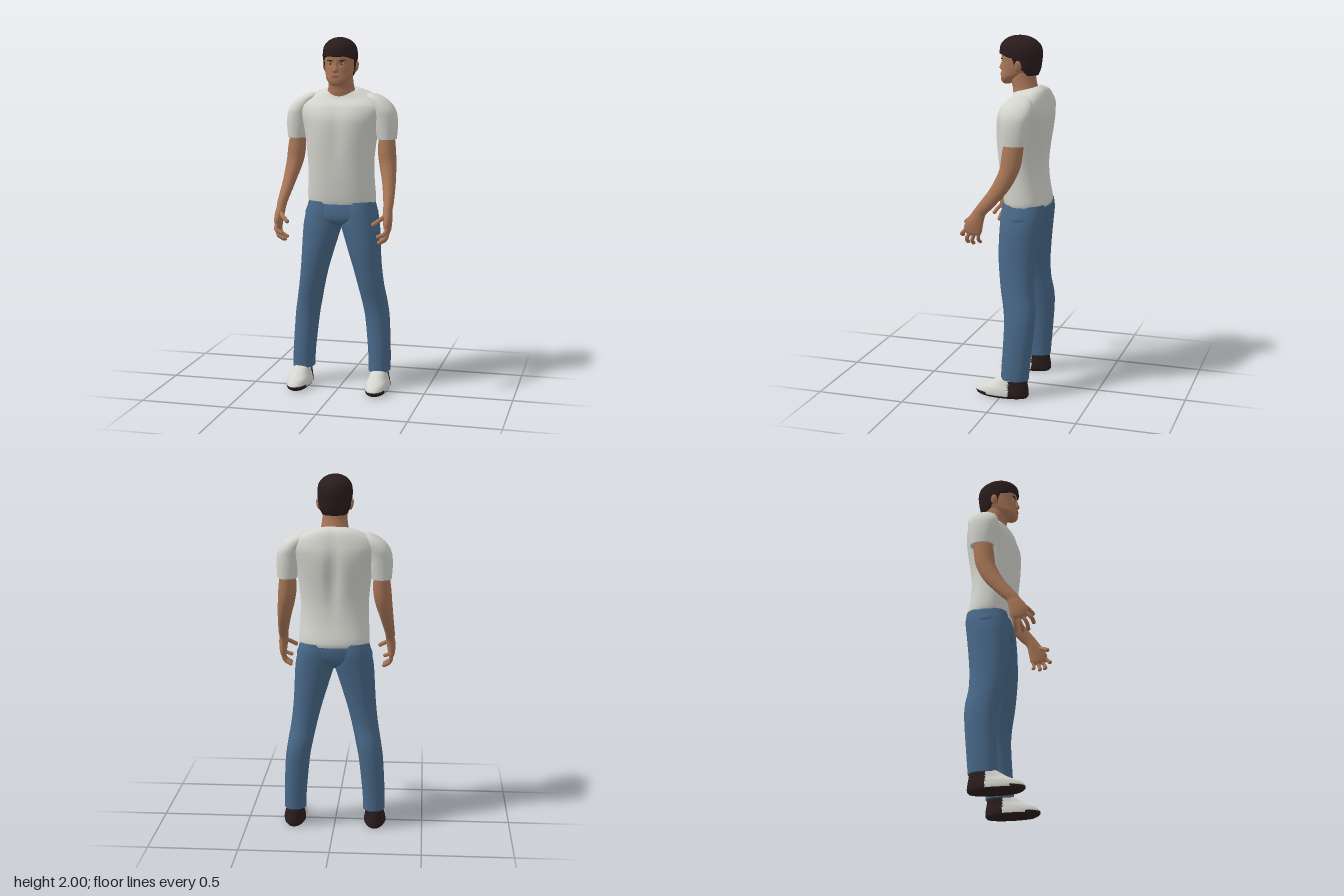
import * as THREE from 'three';

const mat = (name, color, side = THREE.FrontSide) => {
  const m = new THREE.MeshStandardMaterial({ color, side });
  m.name = name;
  return m;
};
const skin = mat('skin', 0xa87657);
const lip = mat('lips', 0x8c5a47);
const white = mat('whiteCloth', 0xd4d5ce);
const denim = mat('denim', 0x486888);
const dark = mat('darkBrown', 0x2a1c1d);
const eyeWhite = mat('eyeWhite', 0xb5a598);

const smooth = THREE.MathUtils.smoothstep;
const bell = (v, c, w) => Math.exp(-(((v - c) / w) ** 2));

// Smooth interpolation through the cross-sections, t from 0 to 1
function sample(sections, t) {
  const n = sections.length - 1, f = t * n, i = Math.min(Math.floor(f), n - 1), k = f - i;
  const at = (j) => sections[Math.max(0, Math.min(n, j))];
  return sections[0].map((_, c) => {
    const [p0, p1, p2, p3] = [at(i - 1)[c], at(i)[c], at(i + 1)[c], at(i + 2)[c]];
    return p1 + 0.5 * k * (p2 - p0 + k * (2 * p0 - 5 * p1 + 4 * p2 - p3 + k * (3 * (p1 - p2) + p3 - p0)));
  });
}

// Skin over level rings, bottom to top; each section is [y, xMin, xMax, zBack, zFront]
function loft(sections, { seg = 48, rows = 40, power = 2, start = () => 0, deform = null } = {}) {
  const pos = [], index = [], p = new THREE.Vector3();
  const bend = (v) => Math.sign(v) * Math.abs(v) ** (2 / power);
  for (let j = 0; j <= rows; j++) {
    for (let i = 0; i < seg; i++) {
      const a = (i / seg) * Math.PI * 2, t0 = start(Math.cos(a), Math.sin(a));
      const [y, x0, x1, z0, z1] = sample(sections, t0 + (1 - t0) * j / rows);
      p.set((x0 + x1) / 2 + bend(Math.cos(a)) * (x1 - x0) / 2, y, (z0 + z1) / 2 + bend(Math.sin(a)) * (z1 - z0) / 2);
      if (deform) deform(p);
      pos.push(p.x, p.y, p.z);
      if (j < rows) {
        const b = j * seg + i, c = j * seg + (i + 1) % seg;
        index.push(b, b + seg, c, c, b + seg, c + seg);
      }
    }
  }
  // End caps with their own vertices, so hems stay crisp
  for (const row of [0, rows]) {
    const base = pos.length / 3, mid = [0, 0, 0];
    for (let i = 0; i < seg; i++) {
      for (let c = 0; c < 3; c++) {
        const v = pos[(row * seg + i) * 3 + c];
        pos.push(v);
        mid[c] += v / seg;
      }
    }
    pos.push(...mid);
    for (let i = 0; i < seg; i++) {
      const b = base + i, c = base + (i + 1) % seg;
      index.push(base + seg, ...(row ? [c, b] : [b, c]));
    }
  }
  const g = new THREE.BufferGeometry();
  g.setAttribute('position', new THREE.Float32BufferAttribute(pos, 3));
  g.setIndex(index);
  g.computeVertexNormals();
  return g;
}

// Sort triangles into two material groups by a rule on their centres
function splitFaces(g, rule) {
  const idx = g.index.array, p = g.attributes.position, sets = [[], []];
  for (let i = 0; i < idx.length; i += 3) {
    const t = [idx[i], idx[i + 1], idx[i + 2]];
    const mean = (f) => t.reduce((s, v) => s + p[f](v) / 3, 0);
    sets[rule(mean('getX'), mean('getY'), mean('getZ')) ? 1 : 0].push(...t);
  }
  g.setIndex([...sets[0], ...sets[1]]);
  g.addGroup(0, sets[0].length, 0);
  g.addGroup(sets[0].length, sets[1].length, 1);
  return g;
}

const centred = (rows) => rows.map(([y, w, b, f]) => [y, -w, w, b, f]);
const sided = (rows, s) => (s > 0 ? rows : rows.map(([y, x0, x1, b, f]) => [y, -x1, -x0, b, f]));

export function createModel() {
  const model = new THREE.Group();
  model.name = 'standingMan';
  const add = (name, geo, material, parent = model) => {
    const m = new THREE.Mesh(geo, material);
    m.name = name;
    parent.add(m);
    return m;
  };
  const ball = (name, material, [x, y, z], [rx, ry, rz], parent) => {
    const m = add(name, new THREE.SphereGeometry(1, 20, 14), material, parent);
    m.position.set(x, y, z);
    m.scale.set(rx, ry, rz);
    return m;
  };

  // Shirt body with spine groove, chest and a sloping neckline
  add('shirtBody', loft(centred([
    [1.068, .188, -.205, .036], [1.1, .195, -.209, .045], [1.2, .19, -.192, .06], [1.3, .188, -.187, .07],
    [1.4, .197, -.197, .077], [1.5, .212, -.212, .08], [1.56, .228, -.217, .075], [1.61, .24, -.214, .055],
    [1.65, .224, -.203, .028], [1.68, .175, -.187, .006], [1.7, .125, -.166, -.004], [1.712, .088, -.15, -.01],
  ]), {
    seg: 80, rows: 60, power: 2.25,
    deform: (p) => {
      const band = bell(p.y, 1.47, .17);
      if (p.z < -.1) p.z += .022 * bell(p.x, 0, .035) * band;
      if (p.z > 0) p.z += band * (.006 * bell(Math.abs(p.x), .09, .05) - .005 * bell(p.x, 0, .03));
      p.y -= .24 * (p.z + .08) * smooth(p.y, 1.62, 1.7);
    },
  }), white);

  // Hips
  add('hips', loft(centred([
    [.94, .05, -.13, -.02], [.965, .14, -.175, .03], [1.0, .208, -.196, .045],
    [1.05, .2, -.206, .042], [1.09, .188, -.203, .033],
  ]), { power: 2.2 }), denim);

  for (const s of [1, -1]) {
    const side = s > 0 ? 'left' : 'right';

    // Trouser leg
    add(side + 'TrouserLeg', loft(sided([
      [.105, .163, .286, -.152, .006], [.2, .16, .286, -.16, 0], [.4, .14, .276, -.178, -.008],
      [.5, .122, .263, -.18, 0], [.6, .1, .246, -.166, .02], [.7, .075, .234, -.166, .035],
      [.8, .045, .227, -.175, .045], [.9, .014, .222, -.187, .046], [.96, -.004, .217, -.195, .045],
      [1.03, 0, .203, -.203, .04], [1.085, .01, .188, -.198, .03],
    ], s), { rows: 60, power: 2.2 }), denim);

    // Shoe: white upper, dark heel and sole
    const shoe = loft(sided([
      [0, .178, .282, -.145, .125], [.012, .167, .293, -.154, .146], [.03, .165, .295, -.155, .15],
      [.055, .169, .29, -.152, .125], [.08, .176, .281, -.148, .065], [.12, .18, .275, -.142, .0],
    ], s), { seg: 64, rows: 30, power: 2.15 });
    add(side + 'Shoe', splitFaces(shoe, (x, y, z) => z < -.05 || y < (z > .08 ? .028 : .014)), [white, dark]);

    // Sleeve
    add(side + 'Sleeve', loft(sided([
      [1.437, .206, .313, -.148, -.012], [1.5, .19, .318, -.156, -.004], [1.56, .18, .316, -.163, .002],
      [1.6, .17, .305, -.168, .004], [1.64, .15, .277, -.165, -.004], [1.67, .14, .236, -.15, -.02],
      [1.687, .145, .2, -.125, -.05], [1.692, .165, .18, -.1, -.075],
    ], s), { power: 2.1 }), white);

    // Bare arm down to the palm
    const arm = new THREE.Group();
    arm.name = side + 'Arm';
    model.add(arm);
    add('armAndPalm', loft(sided([
      [.94, .3, .32, .105, .165], [.955, .294, .328, .09, .182], [.99, .288, .333, .083, .188],
      [1.03, .282, .333, .076, .17], [1.06, .279, .329, .065, .148], [1.1, .274, .33, .025, .12],
      [1.2, .25, .324, -.06, .047], [1.3, .222, .317, -.11, 0], [1.38, .211, .311, -.126, -.012],
      [1.47, .216, .3, -.134, -.026],
    ], s), { rows: 50 }), skin, arm);

    // Fingers and thumb: knuckle, middle joint, tip, thickness
    const digits = {
      thumb: [[.3, 1.035, .14], [.272, 1.015, .178], [.244, .995, .2], .012],
      indexFinger: [[.312, .975, .174], [.305, .945, .203], [.272, .93, .21], .011],
      middleFinger: [[.313, .96, .152], [.302, .915, .178], [.272, .893, .18], .011],
      ringFinger: [[.313, .955, .128], [.302, .907, .147], [.27, .886, .15], .0105],
      littleFinger: [[.312, .955, .104], [.3, .917, .112], [.268, .895, .112], .0095],
    };
    for (const [name, [a, b, c, r]] of Object.entries(digits)) {
      const pts = [a, b, c].map(([x, y, z]) => new THREE.Vector3(s * x, y, z));
      add(name, new THREE.TubeGeometry(new THREE.CatmullRomCurve3(pts), 12, r, 10), skin, arm);
      ball(name + 'Tip', skin, pts[2].toArray(), [r, r, r], arm);
    }
  }

  // Neck and head
  const head = new THREE.Group();
  head.name = 'head';
  model.add(head);
  add('neck', loft(centred([
    [1.63, .095, -.15, -.01], [1.69, .083, -.143, .002], [1.72, .074, -.132, .006],
    [1.76, .069, -.123, .018], [1.8, .067, -.12, .02],
  ])), skin, head);
  add('face', loft(centred([
    [1.735, .022, .022, .058], [1.747, .042, -.005, .071], [1.772, .064, -.05, .075], [1.8, .074, -.1, .072],
    [1.84, .081, -.132, .069], [1.88, .084, -.142, .07], [1.92, .084, -.142, .068],
    [1.96, .068, -.115, .045], [1.985, .03, -.07, 0],
  ]), {
    power: 2.15,
    // Eye sockets
    deform: (p) => { if (p.z > .02) p.z -= .007 * bell(p.y, 1.856, .014) * bell(Math.abs(p.x), .032, .02); },
  }), skin, head);
  add('nose', loft(centred([
    [1.807, .012, .05, .074], [1.814, .017, .05, .082], [1.825, .015, .05, .085],
    [1.85, .009, .045, .076], [1.878, .008, .045, .069],
  ]), { seg: 20, rows: 16 }), skin, head);
  ball('upperLip', lip, [0, 1.79, .07], [.024, .004, .0075], head);
  ball('lowerLip', lip, [0, 1.782, .07], [.02, .005, .008], head);
  for (const s of [1, -1]) {
    ball('eye', eyeWhite, [s * .032, 1.855, .054], [.012, .0055, .007], head);
    ball('iris', dark, [s * .032, 1.855, .059], [.005, .005, .003], head);
    ball('eyebrow', dark, [s * .034, 1.873, .061], [.019, .0035, .005], head).rotation.set(0, s * .3, s * .08);
    ball('ear', skin, [s * .09, 1.838, -.048], [.011, .031, .019], head).rotation.z = -s * .2;
  }

  // Hair with a hairline that drops to sideburns and the nape
  add('hair', loft(centred([
    [1.785, .074, -.135, .05], [1.82, .087, -.149, .066], [1.87, .094, -.157, .077], [1.91, .096, -.159, .081],
    [1.95, .088, -.147, .074], [1.98, .063, -.112, .045], [1.995, .032, -.075, .01], [2.0, .006, -.045, -.025],
  ]), {
    seg: 72,
    start: (dx, dz) => .14 * smooth(dz, -.6, -.2) + .2 * smooth(dz, .1, .22) + .05 * smooth(dz, .4, .9),
  }), dark, head);

  return model;
}
